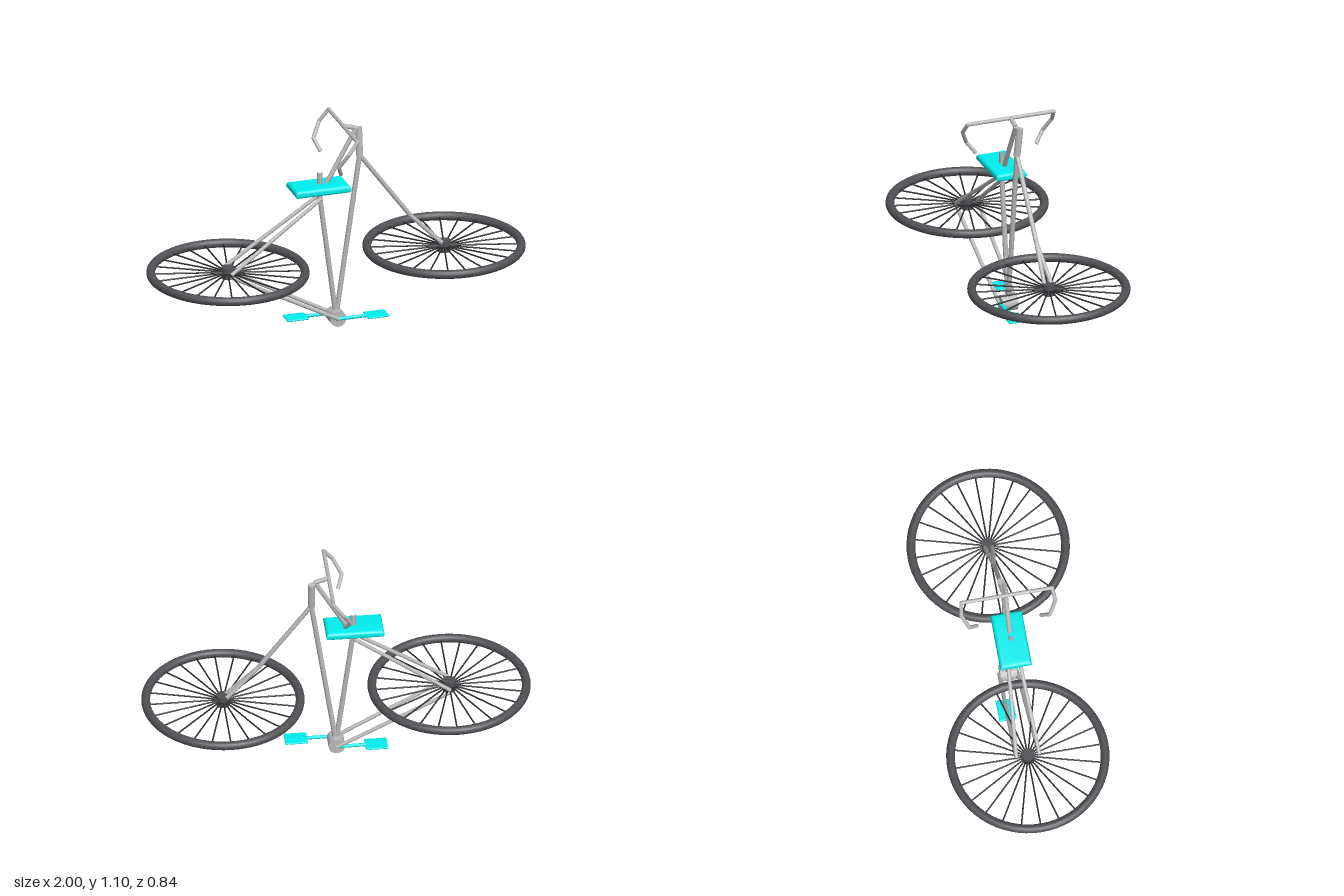
import * as THREE from 'three';
import { toCreasedNormals } from 'three/addons/utils/BufferGeometryUtils.js';

const mat = (color) => new THREE.MeshStandardMaterial({ color });
const steel = mat(0xb8b8b8);
const rubber = mat(0x505055);
const wire = mat(0x2c2c2e);
const cyan = mat(0x00eeee);

function add(parent, name, geometry, material, x = 0, y = 0, z = 0) {
  const mesh = new THREE.Mesh(geometry, material);
  mesh.name = name;
  mesh.position.set(x, y, z);
  parent.add(mesh);
  return mesh;
}

// Straight round bar between two points
function bar(parent, name, from, to, radius, material = steel, open = false) {
  const a = new THREE.Vector3(...from), b = new THREE.Vector3(...to);
  const dir = b.clone().sub(a);
  const geometry = new THREE.CylinderGeometry(radius, radius, dir.length(), 16, 1, open);
  const mesh = add(parent, name, geometry, material);
  mesh.position.copy(a).add(b).multiplyScalar(0.5);
  mesh.quaternion.setFromUnitVectors(new THREE.Vector3(0, 1, 0), dir.normalize());
}

// Chain of bars with ball joints at the bends
function bentBar(parent, name, points, radius) {
  const group = new THREE.Group();
  group.name = name;
  for (let i = 1; i < points.length; i++) {
    bar(group, name + 'Segment', points[i - 1], points[i], radius);
    if (i < points.length - 1) add(group, name + 'Joint', new THREE.SphereGeometry(radius, 12, 8), steel, ...points[i]);
  }
  parent.add(group);
}

// Flat pad with sharp plan corners and rounded rims, lying in the xz plane
function padGeometry(width, height, depth, rim) {
  const w = width / 2 - rim, d = depth / 2 - rim;
  const outline = new THREE.Shape([[-w, -d], [w, -d], [w, d], [-w, d]].map((p) => new THREE.Vector2(...p)));
  const bevel = height * 0.45, core = height * 0.1;
  const geometry = new THREE.ExtrudeGeometry(outline, {
    depth: core, bevelThickness: bevel, bevelSize: rim, bevelSegments: 5,
  });
  geometry.translate(0, 0, -core / 2).rotateX(-Math.PI / 2);
  return toCreasedNormals(geometry, 0.7);
}

// Wheel lying flat: tyre, hub and radial spokes
function makeWheel(name, x) {
  const wheel = new THREE.Group();
  wheel.name = name;
  wheel.position.set(x, 0.36, 0);
  add(wheel, 'tyre', new THREE.TorusGeometry(0.3955, 0.0225, 16, 64), rubber).rotation.x = Math.PI / 2;
  add(wheel, 'hub', new THREE.CylinderGeometry(0.034, 0.034, 0.06, 24), rubber);
  for (let i = 0; i < 24; i++) {
    const a = (i / 24) * Math.PI * 2, c = Math.cos(a), s = Math.sin(a);
    bar(wheel, 'spoke', [c * 0.02, 0, s * 0.02], [c * 0.385, 0, s * 0.385], 0.004, wire);
  }
  return wheel;
}

export function createModel() {
  const bike = new THREE.Group();
  bike.name = 'bicycle';
  bike.add(makeWheel('rearWheel', -0.582), makeWheel('frontWheel', 0.582));

  // Main frame
  const bottom = [0, 0.043, 0], seatJoint = [-0.088, 0.72, 0], headBase = [0.127, 0.92, 0];
  bar(bike, 'bottomBracket', [0, 0.043, -0.043], [0, 0.043, 0.043], 0.043);
  bar(bike, 'seatTube', bottom, seatJoint, 0.013);
  bar(bike, 'seatPost', [-0.088, 0.71, 0], [-0.088, 0.852, 0], 0.014, steel, true);
  bar(bike, 'downTube', bottom, headBase, 0.013);
  bar(bike, 'headTube', [0.127, 0.917, 0], [0.127, 1.067, -0.016], 0.018);
  bar(bike, 'topTube', seatJoint, [0.11, 1.072, 0], 0.012);

  // Paired stays and fork blades
  const elbow = [0.4, 0.55, 0];
  for (const s of [1, -1]) {
    bar(bike, 'seatStay', [-0.088, 0.712, s * 0.024], [-0.582, 0.368, s * 0.06], 0.01);
    bar(bike, 'chainStay', [-0.582, 0.353, s * 0.06], [0, 0.043, s * 0.046], 0.01);
    bar(bike, 'forkBlade', elbow, [0.582, 0.365, s * 0.02], 0.011);
  }
  bentBar(bike, 'fork', [headBase, elbow], 0.012);

  // Handlebar with drops on both sides
  bar(bike, 'stem', [0.11, 1.07, 0], [0.038, 1.091, 0], 0.012);
  const drop = (s) => [[0.038, 1.091, s * 0.236], [-0.01, 1.03, s * 0.245], [-0.053, 0.953, s * 0.209], [-0.028, 0.894, s * 0.165]];
  bentBar(bike, 'handlebar', [...drop(1).reverse(), ...drop(-1)], 0.01);

  // Saddle
  add(bike, 'saddle', padGeometry(0.298, 0.044, 0.164, 0.025), cyan, -0.092, 0.767, 0);

  // Cranks and pedals, half a turn apart
  for (const s of [1, -1]) {
    bar(bike, 'crank', [0, 0.045, s * 0.045], [s * 0.15, 0.045, s * 0.045], 0.009, cyan);
    add(bike, 'pedal', padGeometry(0.115, 0.012, 0.09, 0.012), cyan, s * 0.202, 0.045, s * 0.045);
  }
  return bike;
}
